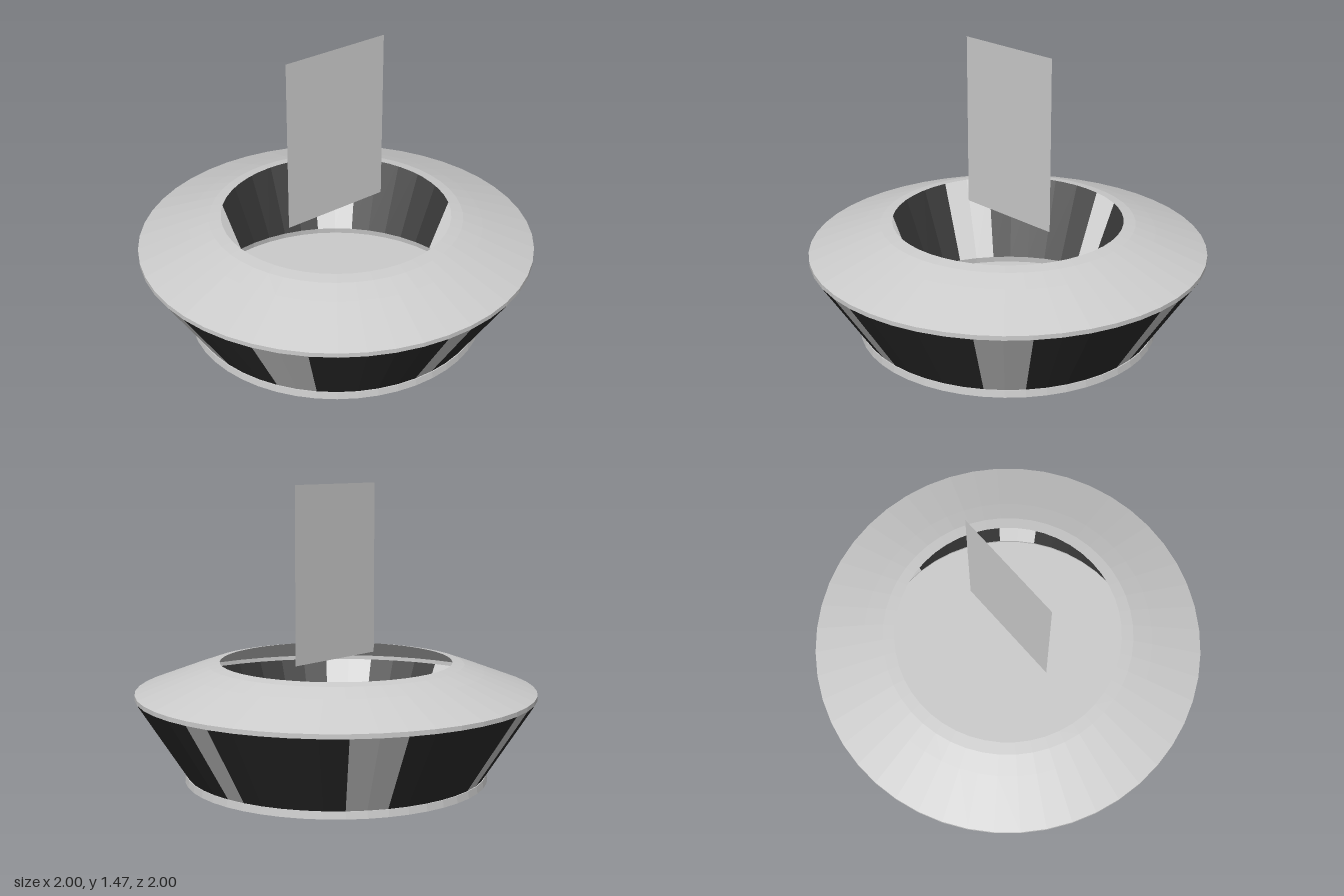
import * as THREE from 'three';

const SEGMENTS = 48;
const STEP = (Math.PI * 2) / SEGMENTS;

const material = (color) =>
  new THREE.MeshStandardMaterial({ color, flatShading: true, side: THREE.DoubleSide });

export function createModel() {
  const model = new THREE.Group();
  const grey = material(0xcccccc);
  const dark = material(0x2c2c2c);

  const add = (name, geometry, mat, parent = model) => {
    const mesh = new THREE.Mesh(geometry, mat);
    mesh.name = name;
    parent.add(mesh);
    return mesh;
  };

  // Turned shell from [radius, height] points, covering `count` facets from facet `start`
  const turned = (profile, start = 0, count = SEGMENTS) =>
    new THREE.LatheGeometry(
      profile.map(([r, y]) => new THREE.Vector2(r, y)), count, start * STEP, count * STEP);

  // Base: closed floor and low rim
  add('base', turned([[0, 0], [0.76, 0], [0.755, 0.035], [0.75, 0.035]]), grey);

  // Flared wall: dark windows separated by narrow and wide pillars
  const wall = new THREE.Group();
  wall.name = 'wall';
  model.add(wall);
  const wallProfile = [[0.75, 0.035], [1, 0.425]];
  const pillars = [[0, 1], [4, 2], [11, 1], [17, 2], [24, 1], [30, 2], [37, 1], [43, 2]];
  pillars.forEach(([start, count], i) => {
    const end = start + count;
    const next = i + 1 < pillars.length ? pillars[i + 1][0] : SEGMENTS;
    add('pillar', turned(wallProfile, start, count), grey, wall);
    add('window', turned(wallProfile, end, next - end), dark, wall);
  });

  // Roof: edge band, slope and rounded lip around the round opening
  add('roof', turned([
    [1, 0.425], [1, 0.447], [0.74, 0.545], [0.64, 0.58], [0.58, 0.59],
  ]), grey);

  // Thin upright panel hovering over the opening
  const panel = add('uprightPanel', new THREE.PlaneGeometry(0.586, 0.87), grey);
  panel.rotation.y = Math.PI / 2;
  panel.position.set(0, 1.033, 0);

  return model;
}
